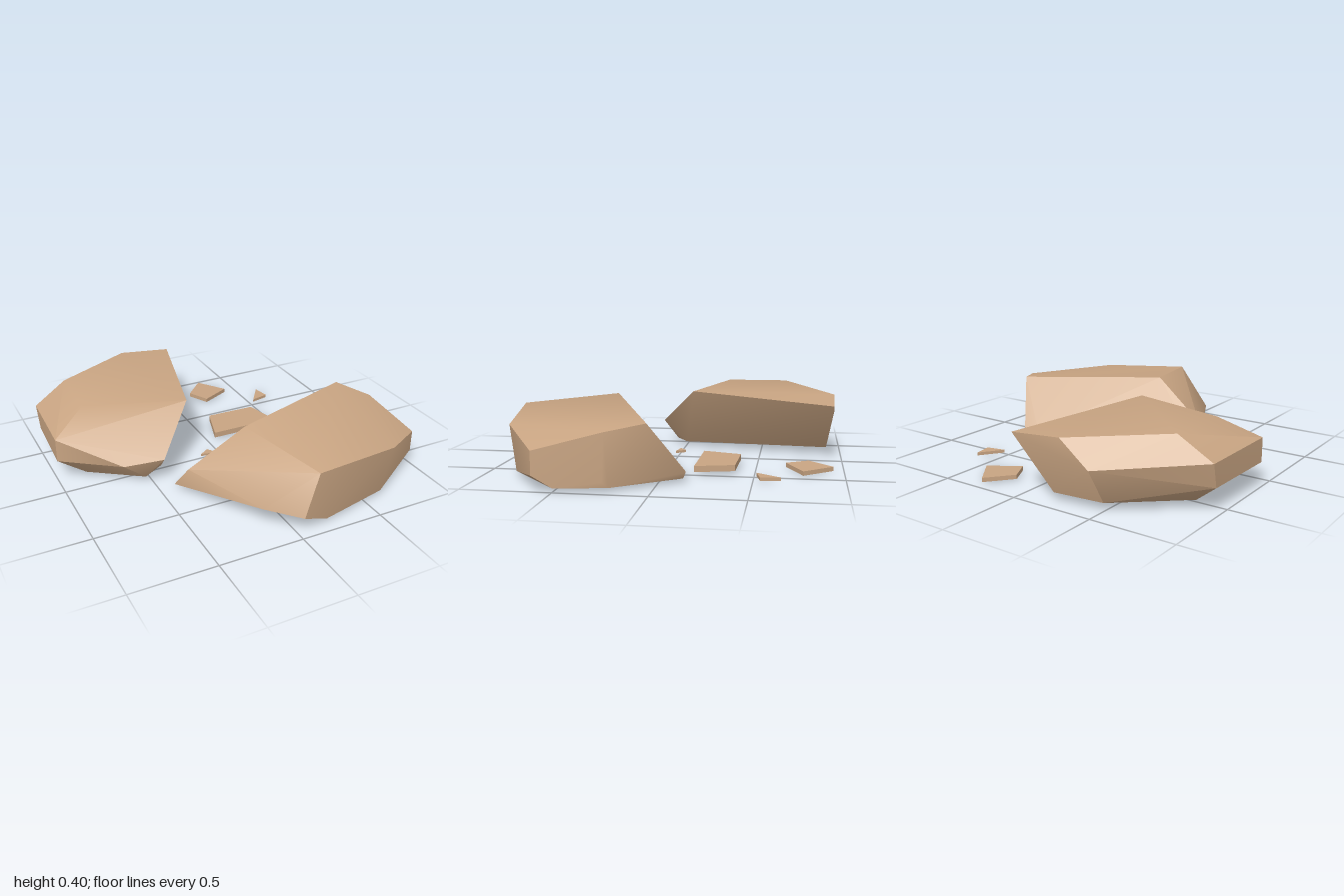
import * as THREE from 'three';
import { ConvexGeometry } from 'three/addons/geometries/ConvexGeometry.js';
import { toCreasedNormals } from 'three/addons/utils/BufferGeometryUtils.js';

const sandstone = new THREE.MeshStandardMaterial({ color: 0xc8a482 });
sandstone.name = 'sandstone';

// Convex stone from its corner points, softened across shallow edges
function stone(name, corners, crease) {
  const hull = new ConvexGeometry(corners.map((c) => new THREE.Vector3(...c)));
  const mesh = new THREE.Mesh(toCreasedNormals(hull, crease), sandstone);
  mesh.name = name;
  return mesh;
}

// Thin flat chip: outline in x,z, a bottom height, thickness and a slope along x
function chip(name, outline, y, thickness, slope = 0) {
  const x0 = outline[0][0];
  const corners = outline.flatMap(([x, z]) => {
    const base = y + (x - x0) * slope;
    return [[x, base, z], [x, base + thickness, z]];
  });
  return stone(name, corners, 0.3);
}

export function createModel() {
  const group = new THREE.Group();
  group.name = 'splitRock';

  // Rear half, with the broken face undercut
  group.add(stone('rearRockHalf', [
    // top
    [-0.19, 0.39, -0.07], [0.05, 0.345, -0.945], [-0.28, 0.375, -0.955],
    [-0.78, 0.405, -0.64], [-0.79, 0.403, -0.25],
    // sides
    [-0.47, 0.24, -0.967], [-0.98, 0.28, -0.62], [-0.975, 0.14, -0.58],
    [-1, 0.29, -0.12], [-1, 0.15, -0.12], [-0.67, 0.14, 0.1], [-0.44, 0.16, 0.16],
    // base
    [-0.2, 0.05, -0.91], [-0.5, 0.05, -0.88], [-0.83, 0.025, -0.52],
    [-0.83, 0.025, -0.13], [-0.53, 0.025, 0.08], [-0.4, 0.025, 0],
  ], 0.65));

  // Front half, with the broken face sloping outward to the back
  group.add(stone('frontRockHalf', [
    // top
    [-0.03, 0.39, 0.38], [0.82, 0.345, 0.04], [0.94, 0.315, 0.24],
    [0.69, 0.3, 0.83], [0.13, 0.34, 0.93],
    // sides
    [-0.36, 0.16, 0.32], [-0.14, 0.12, 0.81], [0.03, 0.1, 0.96],
    [1, 0.22, 0.61], [1, 0.09, 0.61], [0.95, 0.055, 0.25],
    [0.68, 0.06, -0.145], [0.58, 0.045, -0.13],
    // base
    [-0.41, 0.025, 0.23], [0.2, 0.025, 0.92], [0.63, 0.025, 0.82],
    [0.99, 0.025, 0.5], [0.94, 0.025, 0.22], [0.67, 0.025, -0.13],
  ], 0.8));

  // Scattered chips
  group.add(
    chip('largeChip', [[0.05, -0.17], [0.12, -0.4], [0.43, -0.39], [0.49, -0.165]], 0.02, 0.035),
    chip('tiltedChip', [[0.16, -0.8], [0.29, -0.94], [0.42, -0.77], [0.23, -0.67]], 0.012, 0.025, -0.03),
    chip('smallChip', [[0.52, -0.515], [0.615, -0.65], [0.635, -0.54]], 0.018, 0.018),
    chip('tinyChip', [[-0.13, 0], [-0.07, -0.04], [-0.03, 0.02]], 0.018, 0.014),
  );
  return group;
}
